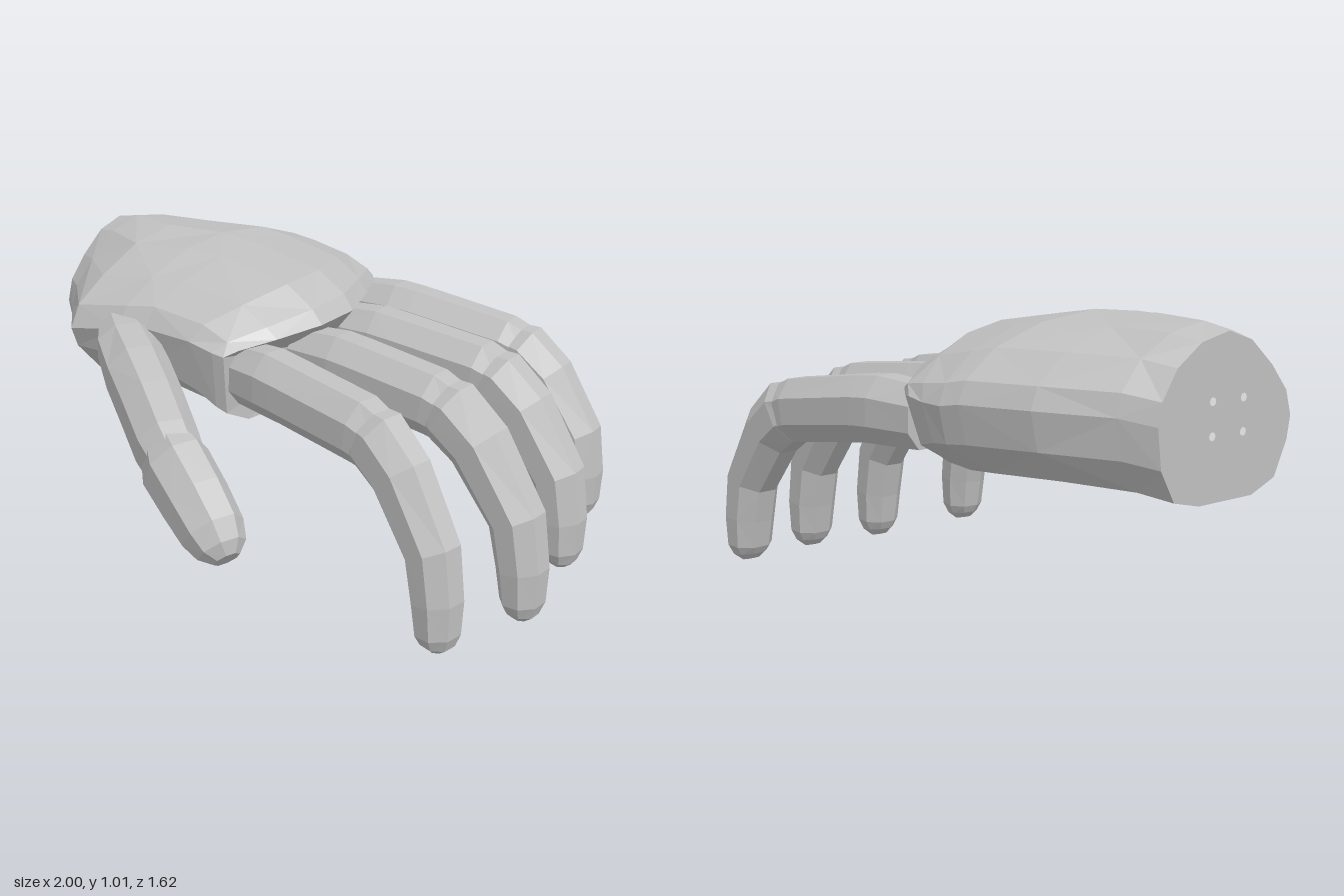
import * as THREE from 'three';

const skin = new THREE.MeshStandardMaterial({ color: 0xc0c0c0, flatShading: true });
skin.name = 'plain grey';
const light = new THREE.MeshStandardMaterial({ color: 0xffffff });
light.name = 'pale dot';

// Closed skin over a row of rings, each an equal list of Vector3
function loft(rings, bulge = 0) {
  const pos = [];
  const tri = (...pts) => pts.forEach((p) => pos.push(p.x, p.y, p.z));
  const n = rings[0].length;
  const centre = (r) => r.reduce((s, p) => s.add(p), new THREE.Vector3()).divideScalar(n);
  const first = rings[0], last = rings[rings.length - 1];
  const c0 = centre(first), c1 = centre(last);
  c1.x += bulge;
  for (let j = 0; j < n; j++) {
    const k = (j + 1) % n;
    for (let i = 0; i + 1 < rings.length; i++) {
      const a = rings[i][j], b = rings[i][k], c = rings[i + 1][k], d = rings[i + 1][j];
      if ((i + j) % 2) { tri(a, b, c); tri(a, c, d); } else { tri(a, b, d); tri(b, c, d); }
    }
    tri(c0, first[k], first[j]);
    tri(c1, last[j], last[k]);
  }
  const geo = new THREE.BufferGeometry();
  geo.setAttribute('position', new THREE.Float32BufferAttribute(pos, 3));
  geo.computeVertexNormals();
  return geo;
}

function part(name, geo, mat = skin) {
  const mesh = new THREE.Mesh(geo, mat);
  mesh.name = name;
  return mesh;
}

// Palm: cross-section as [across -1..1, height 0..1], starting at the little-finger side
const SECTION = [
  [-1, 0.5], [-0.95, 0.64], [-0.74, 0.82], [-0.4, 0.95], [0, 1], [0.35, 0.97], [0.68, 0.84], [0.92, 0.7],
  [1, 0.55], [0.95, 0.3], [0.76, 0.08], [0.4, 0], [0, 0], [-0.4, 0], [-0.76, 0.05], [-0.95, 0.25],
];

// Slanted line of the knuckles seen from above
const knuckleX = (z) => (z < -0.15 ? -0.13 + ((z + 0.74) / 0.59) * 0.25 : 0.12 - ((z + 0.15) / 0.48) ** 2 * 0.12);

function palmGeometry() {
  // x, z min, z max, y min, y max, how far the ring follows the knuckle line,
  // drop of the thumb side, roundness of the back, undercut
  const stations = [
    [-1, -0.44, 0.12, 0.5, 0.99, 0, 0.05, 1, 0],
    [-0.9, -0.5, 0.19, 0.52, 1.01, 0, 0.06, 1, 0],
    [-0.69, -0.63, 0.38, 0.53, 1.015, 0, 0.05, 1, 0],
    [-0.47, -0.715, 0.36, 0.53, 1.015, 0, 0.01, 1, 0],
    [-0.35, -0.735, 0.335, 0.53, 0.995, 0.3, -0.02, 1, 0],
    [-0.14, -0.74, 0.33, 0.54, 0.95, 1, -0.02, 0.9, 0.55],
    [-0.03, -0.735, 0.325, 0.545, 0.885, 1, 0, 0.65, 0.92],
    [0.01, -0.72, 0.315, 0.55, 0.835, 1, 0, 0.45, 1],
  ];
  return loft(stations.map(([x, z0, z1, y0, y1, follow, drop, round, cut]) => SECTION.map(([u, v]) => {
    const z = (z0 + z1) / 2 + (u * (z1 - z0)) / 2;
    const bowed = knuckleX(z) + x - (1 - v) * cut * (0.15 - 0.06 * u);
    const px = follow === 1 ? bowed : x + follow * (knuckleX(z) - 0.05);
    const height = v < 0.5 ? v : 1 - (1 - v) * round;
    const sink = Math.max(u, 0) * (v < 0.5 ? 0.07 * cut : drop);
    return new THREE.Vector3(px, y0 + height * (y1 - y0) - sink, z);
  })), 0.05);
}

// Eight-sided limb through points [x, y, z, half width, half height]
function limb(points) {
  const at = points.map((p) => new THREE.Vector3(p[0], p[1], p[2]));
  const last = at.length - 1;
  const side = at[last].clone().sub(at[0]).setY(0).normalize().cross(new THREE.Vector3(0, 1, 0));
  return loft(at.map((c, i) => {
    const dir = at[Math.min(i + 1, last)].clone().sub(at[Math.max(i - 1, 0)]).normalize();
    const up = dir.cross(side).normalize();
    return Array.from({ length: 8 }, (_, k) => {
      const a = ((k + 0.5) / 8) * Math.PI * 2;
      return c.clone()
        .addScaledVector(side, Math.cos(a) * points[i][3] * 1.08)
        .addScaledVector(up, Math.sin(a) * points[i][4] * 1.08);
    });
  }));
}

// Finger: straight base section and a bent, rounded end section.
// z runs from zBase to zTip; bend is the joint x, tip the x and y of the fingertip
function finger(name, xBase, bend, tipX, tipY, zBase, zTip, jointY) {
  const g = new THREE.Group();
  g.name = name;
  const zAt = (x) => THREE.MathUtils.lerp(zBase, zTip, (x - xBase) / (tipX - xBase));
  const p = (x, y, w, h) => [x, y, zAt(x), w, h];
  const run = tipX - bend;
  g.add(part('fingerBase', limb([
    p(xBase - 0.12, 0.69, 0.08, 0.1),
    p(xBase + 0.06, 0.695, 0.095, 0.11),
    p(xBase + 0.14, 0.69, 0.095, 0.108),
    p(bend - 0.05, jointY + 0.01, 0.09, 0.107),
    p(bend + 0.04, jointY - 0.02, 0.078, 0.098),
  ])));
  const drop = jointY - tipY;
  g.add(part('fingerEnd', limb([
    p(bend - 0.06, jointY + 0.015, 0.075, 0.085),
    p(bend + 0.01, jointY - 0.005, 0.09, 0.11),
    p(bend + run * 0.4, jointY - drop * 0.14, 0.088, 0.104),
    p(bend + run * 0.89, jointY - drop * 0.47, 0.084, 0.09),
    p(bend + run * 0.99, jointY - drop * 0.72, 0.082, 0.08),
    p(tipX + 0.005, jointY - drop * 0.9, 0.074, 0.068),
    p(tipX + 0.005, jointY - drop * 0.96, 0.056, 0.052),
    p(tipX, tipY, 0.028, 0.026),
  ])));
  return g;
}

export function createModel() {
  const hand = new THREE.Group();
  hand.name = 'hand';
  hand.add(part('palm', palmGeometry()));

  // Four fingers
  hand.add(
    finger('indexFinger', 0.05, 0.57, 0.845, 0.03, 0.21, 0.31, 0.65),
    finger('middleFinger', 0.12, 0.61, 0.925, 0.005, -0.06, -0.055, 0.65),
    finger('ringFinger', 0.06, 0.58, 0.865, 0.035, -0.35, -0.4, 0.65),
    finger('littleFinger', -0.07, 0.48, 0.745, 0.065, -0.635, -0.73, 0.635),
  );

  // Thumb
  const thumb = new THREE.Group();
  thumb.name = 'thumb';
  thumb.add(part('thumbBase', limb([
    [-0.52, 0.77, 0.31, 0.07, 0.06],
    [-0.42, 0.745, 0.37, 0.1, 0.085],
    [-0.28, 0.7, 0.455, 0.105, 0.11],
    [-0.13, 0.645, 0.54, 0.102, 0.115],
    [0.02, 0.58, 0.625, 0.098, 0.115],
    [0.12, 0.53, 0.67, 0.085, 0.1],
  ])));
  thumb.add(part('thumbEnd', limb([
    [0.02, 0.585, 0.63, 0.08, 0.095],
    [0.09, 0.545, 0.66, 0.103, 0.12],
    [0.2, 0.475, 0.69, 0.1, 0.112],
    [0.29, 0.405, 0.71, 0.093, 0.098],
    [0.335, 0.365, 0.72, 0.075, 0.072],
    [0.36, 0.342, 0.726, 0.04, 0.038],
  ])));
  hand.add(thumb);

  // Four small dots on the flat wrist end
  const dot = new THREE.CircleGeometry(0.013, 10).rotateY(-Math.PI / 2);
  for (const dy of [-0.05, 0.05]) {
    for (const dz of [-0.065, 0.065]) {
      const m = part('wristDot', dot, light);
      m.position.set(-1.003, 0.745 + dy, -0.16 + dz);
      hand.add(m);
    }
  }
  return hand;
}
